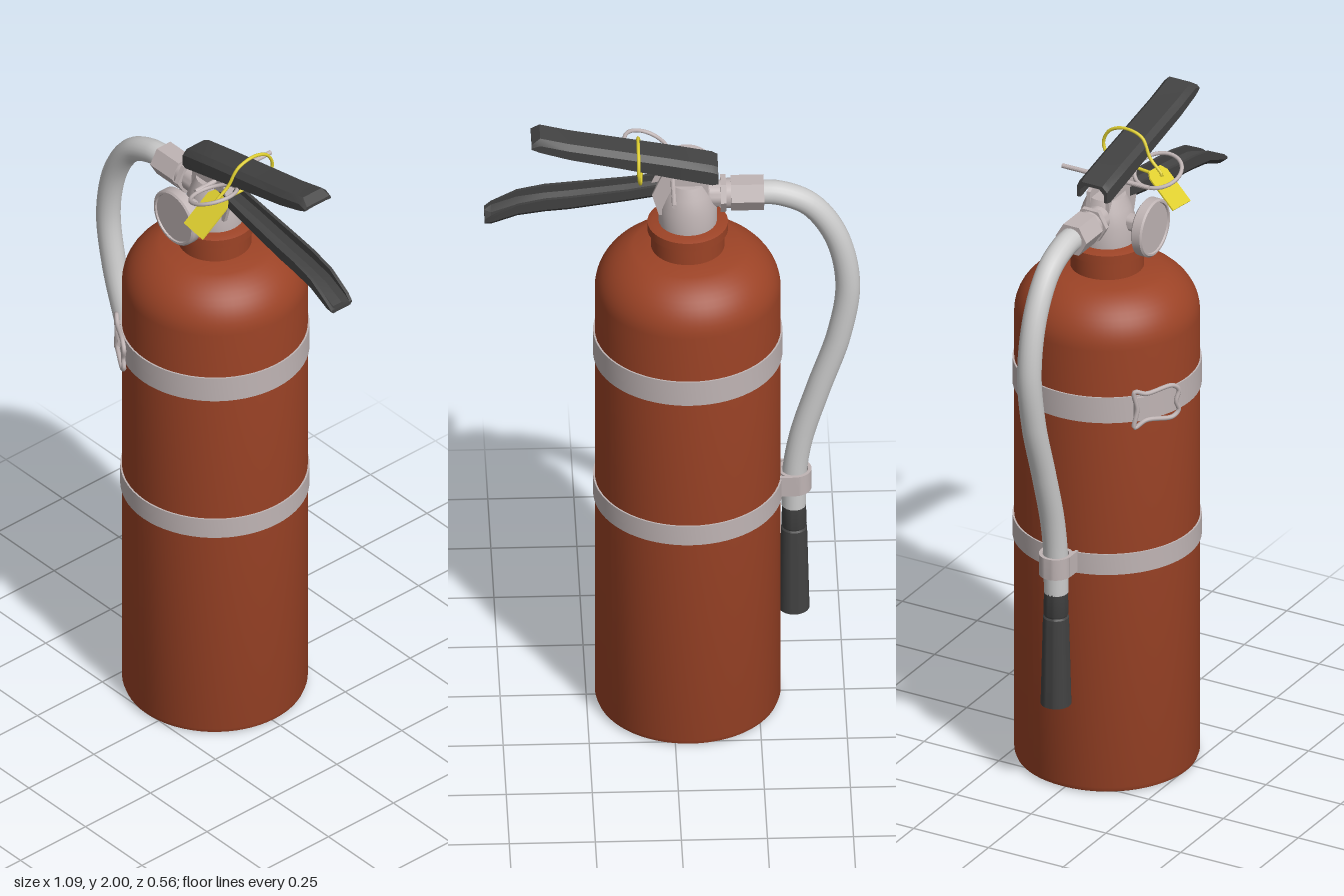
import * as THREE from 'three';
import { toCreasedNormals } from 'three/addons/utils/BufferGeometryUtils.js';

const CX = -0.045, CZ = -0.005; // tank axis
const V = (x, y, z) => new THREE.Vector3(x, y, z);
const mat = (color, extra = {}) => {
  const m = new THREE.MeshStandardMaterial({ color, ...extra });
  return m;
};
const red = mat(0x9c4326), metal = mat(0xbfb4b4), grey = mat(0xcccccc);
const black = mat(0x424242, { side: THREE.DoubleSide }), yellow = mat(0xe0d030);

export function createModel() {
  const model = new THREE.Group();

  const add = (parent, name, geo, material, x = 0, y = 0, z = 0) => {
    const mesh = new THREE.Mesh(geo, material);
    mesh.name = name;
    mesh.position.set(x, y, z);
    parent.add(mesh);
    return mesh;
  };
  const group = (name) => {
    const g = new THREE.Group();
    g.name = name;
    model.add(g);
    return g;
  };
  const lathe = (pts, seg = 48) => toCreasedNormals(
    new THREE.LatheGeometry(pts.map((p) => new THREE.Vector2(p[0], p[1])), seg), 0.6);
  const cyl = (rTop, rBottom, h, seg = 32) => toCreasedNormals(
    new THREE.CylinderGeometry(rTop, rBottom, h, seg), 0.6);
  const hoop = (r0, r1, h, seg = 48) => lathe(
    [[r0, -h / 2], [r1, -h / 2], [r1, h / 2], [r0, h / 2], [r0, -h / 2]], seg);
  const tube = (pts, r, closed = false, seg = 64, sides = 10, type = 'centripetal') =>
    new THREE.TubeGeometry(new THREE.CatmullRomCurve3(pts, closed, type), seg, r, sides, closed);

  // Tank: recessed base, straight wall, elliptical dome, neck and collar
  const profile = [[0, 0.05], [0.19, 0.04], [0.205, 0.03], [0.212, 0.004], [0.225, 0], [0.255, 0], [0.265, 0.006], [0.27, 0.02]];
  for (let i = 0; i <= 10; i++) {
    const a = (i / 10) * 1.17;
    profile.push([0.09 + 0.18 * Math.cos(a), 1.44 + 0.155 * Math.sin(a)]);
  }
  profile.push([0.107, 1.59], [0.107, 1.64], [0.117, 1.645], [0.117, 1.672], [0.1, 1.678], [0, 1.678]);
  add(model, 'tank', lathe(profile, 64), red, CX, 0, CZ);

  // Straps around the tank
  add(model, 'upperStrap', hoop(0.268, 0.275, 0.082, 64), metal, CX, 1.25, CZ);
  add(model, 'lowerStrap', hoop(0.268, 0.275, 0.066, 64), metal, CX, 0.748, CZ);

  // Wire buckle on the upper strap
  const buckle = group('strapBuckle');
  add(buckle, 'wireLoop', tube([
    V(-0.245, 1.31, 0.2), V(-0.215, 1.298, 0.222), V(-0.14, 1.304, 0.268), V(-0.122, 1.285, 0.278),
    V(-0.13, 1.25, 0.274), V(-0.122, 1.22, 0.278), V(-0.14, 1.203, 0.268), V(-0.215, 1.212, 0.222),
    V(-0.245, 1.195, 0.2), V(-0.238, 1.25, 0.205)], 0.007, true, 80, 8), metal);
  const hook = add(buckle, 'hookPlate', new THREE.BoxGeometry(0.03, 0.075, 0.014), metal, -0.227, 1.25, 0.203);
  hook.rotation.y = -0.7;

  // Hose with its clip
  add(model, 'hose', tube([
    V(-0.24, 1.767, 0), V(-0.31, 1.762, 0), V(-0.4, 1.72, 0), V(-0.475, 1.61, 0), V(-0.51, 1.44, 0),
    V(-0.485, 1.26, 0), V(-0.425, 1.07, 0), V(-0.375, 0.9, 0), V(-0.356, 0.78, 0), V(-0.353, 0.66, 0)],
  0.036, false, 90, 20), grey);
  const clip = group('hoseClip');
  add(clip, 'clipRing', hoop(0.039, 0.049, 0.066, 32), metal, -0.356, 0.753, 0);
  for (const s of [-1, 1]) {
    add(clip, 'clipStrap', new THREE.BoxGeometry(0.07, 0.066, 0.009), metal, -0.325, 0.753, s * 0.045);
  }

  // Nozzle, hollow at its lower end
  add(model, 'nozzle', lathe([[0, 0.42], [0.03, 0.4], [0.038, 0.298], [0.045, 0.298], [0.038, 0.58],
    [0.034, 0.585], [0.037, 0.592], [0.034, 0.685], [0.03, 0.69], [0, 0.69]], 32), black, -0.354, 0, 0);

  // Hose fitting: a hexagonal nut and collars running along x
  const fitting = group('hoseFitting');
  for (const [name, x, len, r, sides] of [['hexNut', -0.218, 0.096, 0.052, 6], ['collar', -0.163, 0.016, 0.044, 24],
    ['hexCollar', -0.148, 0.016, 0.055, 6], ['spigot', -0.11, 0.08, 0.04, 24]]) {
    const geo = new THREE.CylinderGeometry(r, r, len, sides).rotateZ(Math.PI / 2);
    add(fitting, name, toCreasedNormals(geo, 0.6), metal, x, 1.765, 0);
  }

  // Valve head with two cheeks that hold the levers
  const valve = group('valve');
  add(valve, 'valveBody', lathe([[0, 1.67], [0.085, 1.67], [0.085, 1.74], [0.07, 1.785], [0.055, 1.82], [0, 1.82]], 32),
    metal, CX, 0, CZ);
  const cheek = new THREE.Shape([[-0.11, 1.72], [0.04, 1.72], [0.06, 1.79], [0.03, 1.86], [-0.05, 1.87], [-0.1, 1.84]]
    .map((p) => new THREE.Vector2(p[0], p[1])));
  for (const z of [-0.042, 0.022]) {
    add(valve, 'leverCheek', new THREE.ExtrudeGeometry(cheek, { depth: 0.012, bevelEnabled: false }), metal, 0, 0, z);
  }

  // Pressure gauge on a short stem, facing the front
  const gauge = group('gauge');
  add(gauge, 'gaugeStem', cyl(0.026, 0.026, 0.1).rotateX(Math.PI / 2), metal, CX, 1.745, 0.08);
  add(gauge, 'gaugeDial', lathe([[0, 0], [0.08, 0], [0.088, 0.006], [0.088, 0.033], [0.083, 0.038], [0.077, 0.038],
    [0.075, 0.033], [0, 0.033]], 40).rotateX(Math.PI / 2), metal, CX, 1.745, 0.12);

  // Channel lever; stations are [x, spine y, centre z, half width, flange depth]; dir is the way it opens
  const lever = (stations, dir) => {
    const t = 0.01, pos = [], idx = [];
    const half = (w, d, k) => [[-w, d], [-w, k], [-w + k, 0], [w - k, 0], [w, k], [w, d]];
    for (const [x, y, z, w, d] of stations) {
      const outer = half(w, d, Math.min(0.016, d * 0.6));
      const inner = half(w - t, d, Math.min(0.016, d * 0.6)).map(([a, b]) => [a, b === d ? b : Math.min(b + t, d)]);
      for (const [a, b] of [...outer, ...inner.reverse()]) pos.push(x, y + dir * b, z + a);
    }
    const quad = (a, b, c, d) => (dir < 0 ? idx.push(a, b, c, a, c, d) : idx.push(a, c, b, a, d, c));
    const last = (stations.length - 1) * 12;
    for (let s = 0; s < last; s += 12) {
      for (let j = 0; j < 12; j++) {
        const k = (j + 1) % 12;
        quad(s + j, s + k, s + 12 + k, s + 12 + j);
      }
    }
    for (let j = 0; j < 5; j++) {
      quad(j, 11 - j, 10 - j, j + 1);
      quad(last + j, last + j + 1, last + 10 - j, last + 11 - j);
    }
    const geo = new THREE.BufferGeometry();
    geo.setAttribute('position', new THREE.Float32BufferAttribute(pos, 3));
    geo.setIndex(idx);
    return toCreasedNormals(geo, 0.5);
  };
  add(model, 'upperLever', lever([[-0.132, 1.885, -0.006, 0.05, 0.05], [-0.115, 1.893, -0.006, 0.052, 0.06],
    [0, 1.918, -0.006, 0.052, 0.058], [0.15, 1.948, -0.006, 0.052, 0.05], [0.3, 1.978, -0.006, 0.052, 0.045],
    [0.385, 2.0, -0.006, 0.052, 0.04], [0.41, 1.982, -0.006, 0.05, 0.012]], -1), black);
  add(model, 'lowerLever', lever([[0.02, 1.775, 0, 0.034, 0.045], [0.13, 1.757, 0.003, 0.038, 0.045],
    [0.3, 1.73, 0.01, 0.042, 0.05], [0.37, 1.722, 0.013, 0.042, 0.05], [0.45, 1.708, 0.016, 0.042, 0.045],
    [0.525, 1.678, 0.02, 0.042, 0.033], [0.545, 1.682, 0.021, 0.04, 0.012]], 1), black);

  // Safety pin with pull ring
  const pin = group('safetyPin');
  add(pin, 'pinRod', cyl(0.007, 0.007, 0.29, 12).rotateX(Math.PI / 2), metal, 0, 1.845, -0.035);
  const ring = add(pin, 'pullRing', new THREE.TorusGeometry(0.07, 0.006, 10, 40).rotateX(Math.PI / 2), metal, 0.07, 1.868, 0.1);
  ring.rotation.z = 0.38;

  // Yellow tag and the tie that loops over the upper lever
  const tag = group('inspectionTag');
  const plate = new THREE.Shape([[-0.045, -0.07], [0.045, -0.07], [0.045, 0.045], [0.03, 0.065], [-0.03, 0.065], [-0.045, 0.045]]
    .map((p) => new THREE.Vector2(p[0], p[1])));
  const tagPlate = add(tag, 'tagPlate', new THREE.ExtrudeGeometry(plate, { depth: 0.005, bevelEnabled: false }),
    yellow, 0.077, 1.818, 0.125);
  tagPlate.rotation.set(-0.83, 0, -0.1);
  add(tag, 'tagTie', tube([V(0.083, 1.848, 0.105), V(0.09, 1.89, 0.062), V(0.098, 1.945, 0.03), V(0.1, 1.96, -0.03),
    V(0.1, 1.94, -0.08), V(0.1, 1.895, -0.1), V(0.095, 1.855, -0.075), V(0.09, 1.85, 0), V(0.085, 1.846, 0.07)],
  0.005, true, 70, 8), yellow);

  return model;
}
